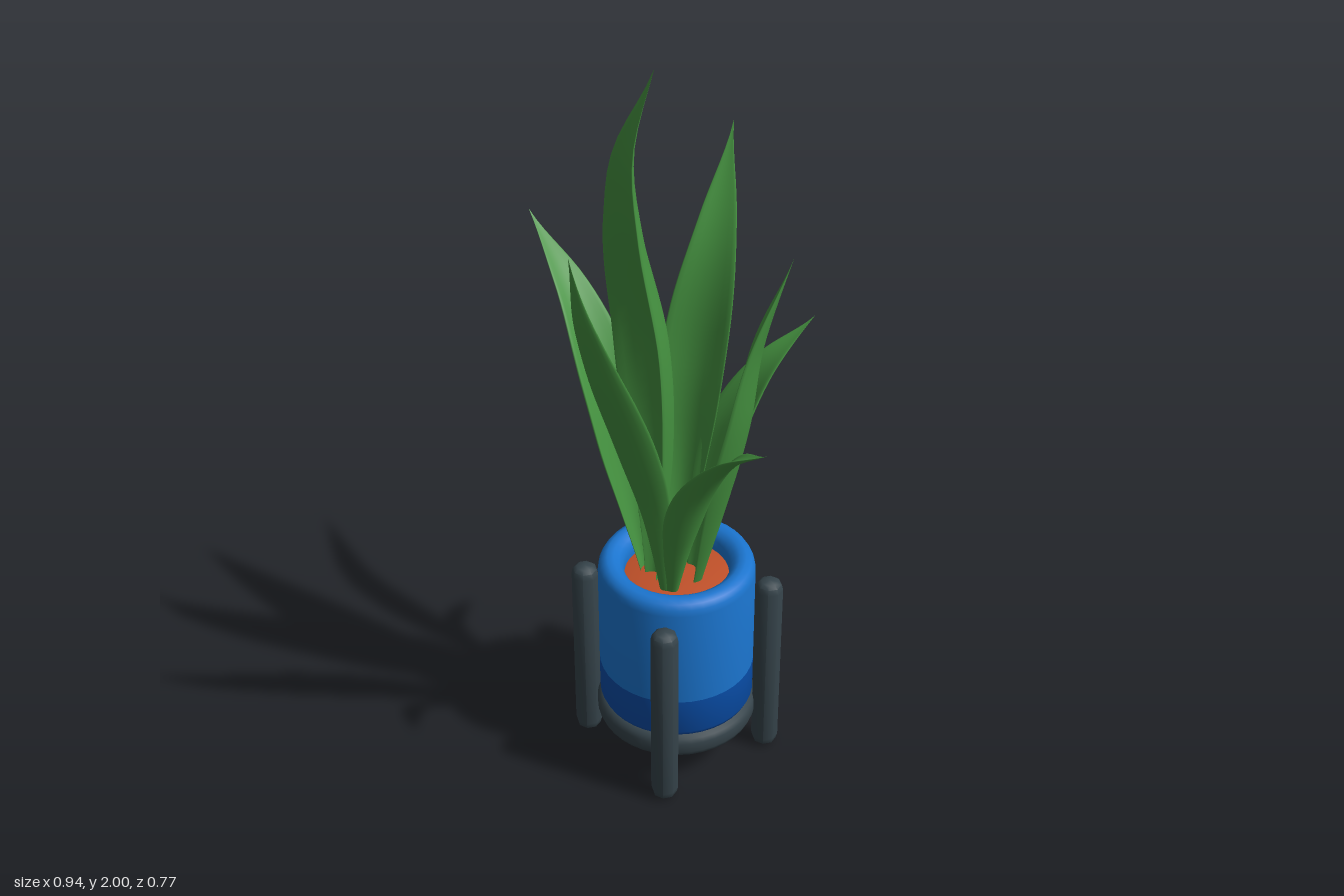
import * as THREE from 'three';
import { toCreasedNormals } from 'three/addons/utils/BufferGeometryUtils.js';

const CX = 0.027, CZ = -0.01; // pot axis

const mat = (name, color, side = THREE.FrontSide) => {
  const m = new THREE.MeshStandardMaterial({ color, side });
  m.name = name;
  return m;
};

// Turned part from [radius, height] pairs, listed bottom to top on the outside
function turned(name, profile, material, segments = 40) {
  const pts = profile.map(([r, y]) => new THREE.Vector2(r, y));
  const geo = toCreasedNormals(new THREE.LatheGeometry(pts, segments), 0.8);
  const mesh = new THREE.Mesh(geo, material);
  mesh.name = name;
  return mesh;
}

// Relative leaf width at even steps from base to tip
const widthCurve = new THREE.SplineCurve(
  [0.24, 0.6, 0.96, 0.95, 0.55, 0].map((w, i) => new THREE.Vector2(i / 5, w)));

// Lens-shaped cross-sections swept along a midrib, rolled at the base and flatter at the tip
function leafGeometry(path, outDir, halfWidth, cup) {
  const curve = new THREE.CatmullRomCurve3(path.map(p => new THREE.Vector3(...p)));
  const rows = 32, ring = 20, pos = [], index = [];
  const out = new THREE.Vector3(outDir[0], 0, outDir[1]).normalize();
  const side = out.clone().cross(new THREE.Vector3(0, 1, 0));
  for (let i = 0; i <= rows; i++) {
    const t = i / rows;
    const p = curve.getPointAt(t), tan = curve.getTangentAt(t);
    const w = side.clone().addScaledVector(tan, -side.dot(tan)).normalize();
    const n = tan.clone().cross(w);
    const h = halfWidth * Math.max(widthCurve.getPoint(t).y, 0.004);
    const depth = cup * (1.4 - 1.1 * t);
    for (let j = 0; j < ring; j++) {
      const a = (j / ring) * Math.PI * 2, c = Math.cos(a);
      const v = p.clone().addScaledVector(w, h * c)
        .addScaledVector(n, h * (0.18 * Math.sin(a) - depth * c * c));
      pos.push(v.x, v.y, v.z);
      if (i < rows) {
        const k = (j + 1) % ring, A = i * ring, B = A + ring;
        index.push(A + j, A + k, B + k, A + j, B + k, B + j);
      }
    }
  }
  const geo = new THREE.BufferGeometry();
  geo.setAttribute('position', new THREE.Float32BufferAttribute(pos, 3));
  geo.setIndex(index);
  geo.computeVertexNormals();
  return geo;
}

export function createModel() {
  const model = new THREE.Group();
  model.name = 'pottedPlant';

  const blue = mat('potBlue', 0x1b75cf, THREE.DoubleSide);
  const darkBlue = mat('potDarkBlue', 0x084da8);
  const grey = mat('standGrey', 0x36444b);
  const orange = mat('soilOrange', 0xbf5029);
  const green = mat('leafGreen', 0x459240, THREE.DoubleSide);

  // Pot, stand plate and soil
  const pot = new THREE.Group();
  pot.name = 'pot';
  pot.position.set(CX, 0, CZ);
  pot.add(
    turned('potBody', [[0.206, 0.29], [0.206, 0.575], [0.203, 0.592], [0.195, 0.606], [0.181, 0.613],
      [0.164, 0.612], [0.15, 0.603], [0.14, 0.588], [0.137, 0.57], [0.137, 0.54]], blue),
    turned('potLowerBand', [[0.19, 0.168], [0.2, 0.173], [0.206, 0.186], [0.206, 0.29]], darkBlue),
    turned('standPlate', [[0, 0.1], [0.198, 0.1], [0.209, 0.108], [0.214, 0.121], [0.214, 0.148],
      [0.209, 0.162], [0.198, 0.17], [0, 0.17]], grey),
    turned('soil', [[0.139, 0.558], [0.1, 0.566], [0, 0.57]], orange));
  model.add(pot);

  // Four rounded legs
  for (const sx of [-1, 1]) for (const sz of [-1, 1]) {
    const leg = turned('leg', [[0, 0], [0.022, 0.003], [0.032, 0.012], [0.036, 0.028],
      [0.036, 0.53], [0.032, 0.546], [0.022, 0.555], [0, 0.558]], grey, 8);
    leg.position.set(CX + sx * 0.172, 0, CZ + sz * 0.172);
    model.add(leg);
  }

  // Leaves: midrib path, outward direction, half width, cupping
  const leaves = [
    ['backLeftLeaf', [[0, 0.55, -0.05], [-0.045, 0.85, -0.105], [-0.075, 1.1, -0.155],
      [-0.112, 1.38, -0.235], [-0.23, 1.645, -0.385]], [-0.45, -0.9], 0.088, 0.5],
    ['backLeaf', [[0.045, 0.55, -0.055], [0.058, 0.78, -0.105], [0.07, 1.0, -0.17],
      [0.085, 1.135, -0.25], [0.11, 1.243, -0.378]], [0.12, -1], 0.075, 0.5],
    ['backRightLeaf', [[0.09, 0.55, -0.035], [0.15, 0.85, -0.065], [0.19, 1.08, -0.09],
      [0.214, 1.3, -0.11], [0.263, 1.545, -0.165]], [0.75, -0.66], 0.085, 0.5],
    ['rightLeaf', [[0.09, 0.55, 0.045], [0.15, 0.76, 0.055], [0.225, 0.95, 0.062],
      [0.33, 1.1, 0.067], [0.472, 1.21, 0.08]], [1, 0.03], 0.068, 0.55],
    ['frontLeaf', [[0.068, 0.55, 0.065], [0.09, 0.82, 0.122], [0.108, 1.05, 0.195],
      [0.13, 1.35, 0.302], [0.143, 1.52, 0.355], [0.15, 1.68, 0.385]], [0.25, 1], 0.071, 0.45],
    ['centreLeaf', [[0.008, 0.55, 0.035], [0.003, 0.95, 0.006], [0.006, 1.28, 0.032],
      [0.003, 1.6, 0.102], [0.012, 1.8, 0.12], [0.05, 2.0, 0.075]], [0, 1], 0.094, -0.85],
    ['leftLeaf', [[-0.04, 0.55, 0.045], [-0.107, 0.83, 0.063], [-0.18, 1.07, 0.07],
      [-0.295, 1.275, 0.07], [-0.472, 1.443, 0.075]], [-1, 0], 0.079, 0.55],
  ];
  for (const [name, path, dir, width, cup] of leaves) {
    const leaf = new THREE.Mesh(leafGeometry(path, dir, width, cup), green);
    leaf.name = name;
    model.add(leaf);
  }
  return model;
}
